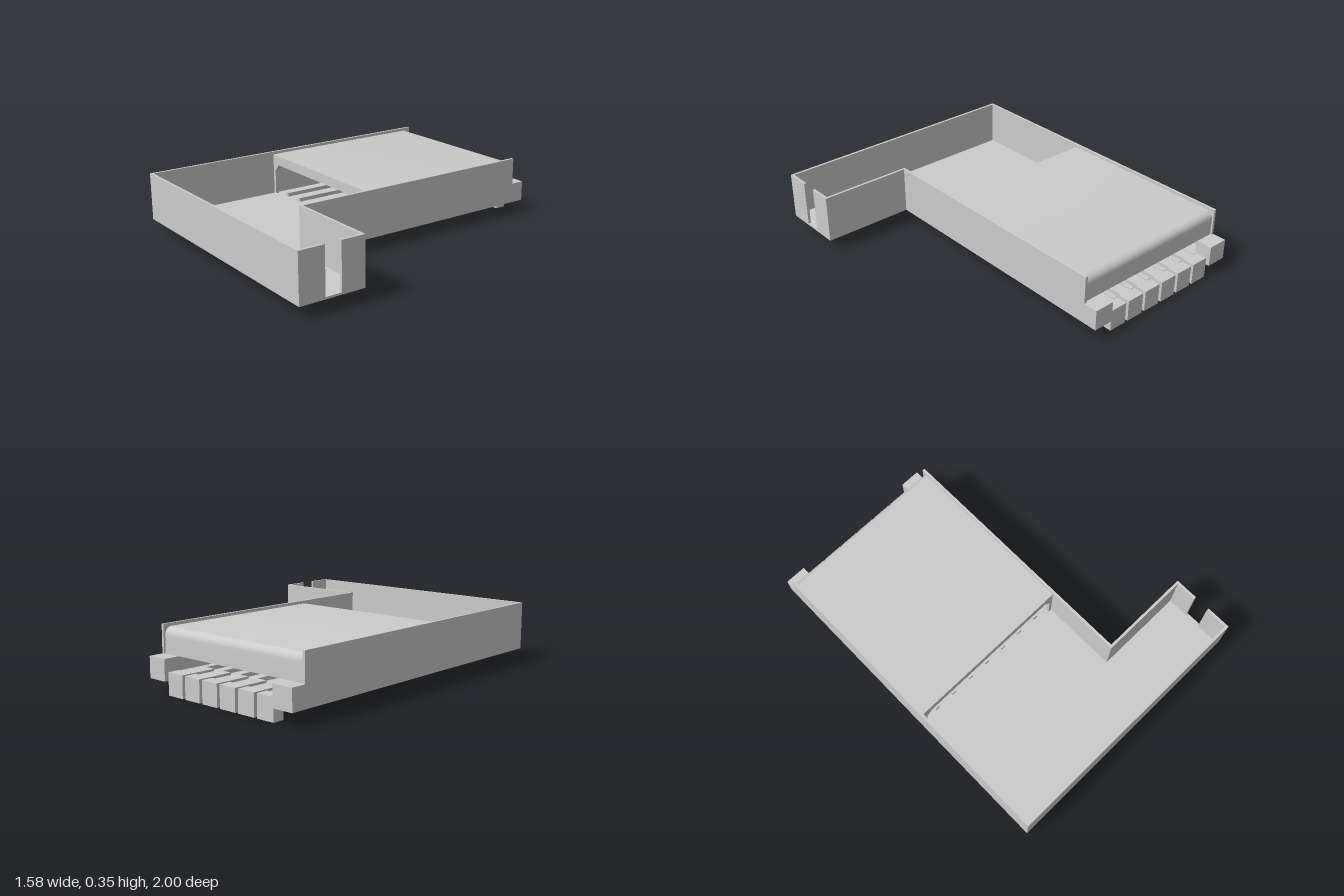
import * as THREE from 'three';
import { toCreasedNormals } from 'three/addons/utils/BufferGeometryUtils.js';

export function createModel() {
  const model = new THREE.Group();
  const material = new THREE.MeshStandardMaterial({ color: 0xcccccc, side: THREE.DoubleSide });

  const add = (name, geometry) => {
    const mesh = new THREE.Mesh(geometry, material);
    mesh.name = name;
    model.add(mesh);
    return mesh;
  };
  // Box given by its limits on each axis
  const box = (name, x0, x1, y0, y1, z0, z1) => {
    const g = new THREE.BoxGeometry(x1 - x0, y1 - y0, z1 - z0);
    g.translate((x0 + x1) / 2, (y0 + y1) / 2, (z0 + z1) / 2);
    return add(name, g);
  };

  const L = -0.79, R = 0.24, E = 0.787; // side, inner side and wing end in x
  const BACK = -0.915, WING = 0.615, FRONT = 1; // limits in z
  const BASE = 0.075, TOP = 0.355, T = 0.015;

  // L-shaped floor (outline in x and -z, laid flat)
  const outline = [[L, FRONT], [E, FRONT], [E, WING], [R, WING], [R, BACK], [L, BACK]];
  const floor = new THREE.Shape(outline.map(([x, z]) => new THREE.Vector2(x, -z)));
  const floorGeometry = new THREE.ExtrudeGeometry(floor, { depth: 0.012, bevelEnabled: false });
  floorGeometry.rotateX(-Math.PI / 2).translate(0, BASE, 0);
  add('floor', floorGeometry);

  // Walls, with a slot in the wing end
  box('frontWall', L, E, BASE, TOP, FRONT - T, FRONT);
  box('rightWall', L, L + T, BASE, TOP, BACK, FRONT - T);
  box('leftWall', R - T, R, BASE, TOP, BACK, WING + T);
  box('wingBackWall', R, E, BASE, TOP, WING, WING + T);
  box('wingEndBack', E - T, E, BASE, TOP, WING + T, 0.755);
  box('wingEndFront', E - T, E, BASE, TOP, 0.85, FRONT - T);

  // Cover: flat lid that rolls over into a short back face
  const CT = 0.338, CB = -0.905, CF = 0.175, r = 0.045, t = 0.015;
  const lid = new THREE.Shape();
  lid.moveTo(CF, CT);
  lid.lineTo(CB + r, CT);
  lid.absarc(CB + r, CT - r, r, Math.PI / 2, Math.PI, false);
  lid.lineTo(CB, 0.195);
  lid.lineTo(CB + t, 0.195);
  lid.lineTo(CB + t, CT - r);
  lid.absarc(CB + r, CT - r, r - t, Math.PI, Math.PI / 2, true);
  lid.lineTo(CF, CT - t);
  const x0 = L + T, x1 = R - T;
  const lidGeometry = new THREE.ExtrudeGeometry(lid, { depth: x1 - x0, bevelEnabled: false, curveSegments: 10 });
  lidGeometry.rotateY(-Math.PI / 2).translate(x1, 0, 0);
  add('cover', toCreasedNormals(lidGeometry, 0.6));

  // Arch under the front edge of the cover, with chamfered corners
  const arch = new THREE.Shape([
    [x0, BASE], [x0, CT - t], [x1, CT - t], [x1, BASE], [x1 - 0.02, BASE], [x1 - 0.02, 0.235],
    [x1 - 0.06, 0.28], [x0 + 0.06, 0.28], [x0 + 0.02, 0.235], [x0 + 0.02, BASE],
  ].map(([x, y]) => new THREE.Vector2(x, y)));
  const archGeometry = new THREE.ExtrudeGeometry(arch, { depth: 0.02, bevelEnabled: false });
  add('coverArch', archGeometry.translate(0, 0, CF - 0.02));

  // Corner blocks at the back
  box('rightCornerBlock', L, -0.665, BASE, 0.195, -1, -0.9);
  box('leftCornerBlock', 0.12, R, BASE, 0.195, -1, -0.9);

  // Keys, with stems and the pair of thin runners below the floor
  const pitch = 0.1305, firstKey = -0.599, half = 0.055;
  for (let i = 0; i < 6; i++) {
    const x = firstKey + i * pitch;
    box('key', x - half, x + half, 0, 0.125, -0.985, -0.917);
    box('keyStem', x - 0.035, x + 0.035, 0.088, 0.118, -0.917, -0.75);
    for (const s of [-1, 1]) {
      const e = x + s * (half - 0.008);
      box('runner', e - 0.007, e + 0.007, 0.067, BASE + 0.005, -0.91, 0.165);
    }
  }

  // Guide rails between the keys
  for (let i = 0; i < 7; i++) {
    const x = firstKey + (i - 0.5) * pitch;
    box('guideRail', x - 0.014, x + 0.014, BASE + 0.01, 0.11, -0.9, 0.15);
  }

  // Pins of the cover that reach through the floor
  for (const x of [L + 0.022, R - 0.022]) {
    for (const z of [0.16, -0.3, -0.8]) box('coverPin', x - 0.008, x + 0.008, 0.07, BASE + 0.005, z - 0.01, z + 0.01);
  }

  return model;
}
